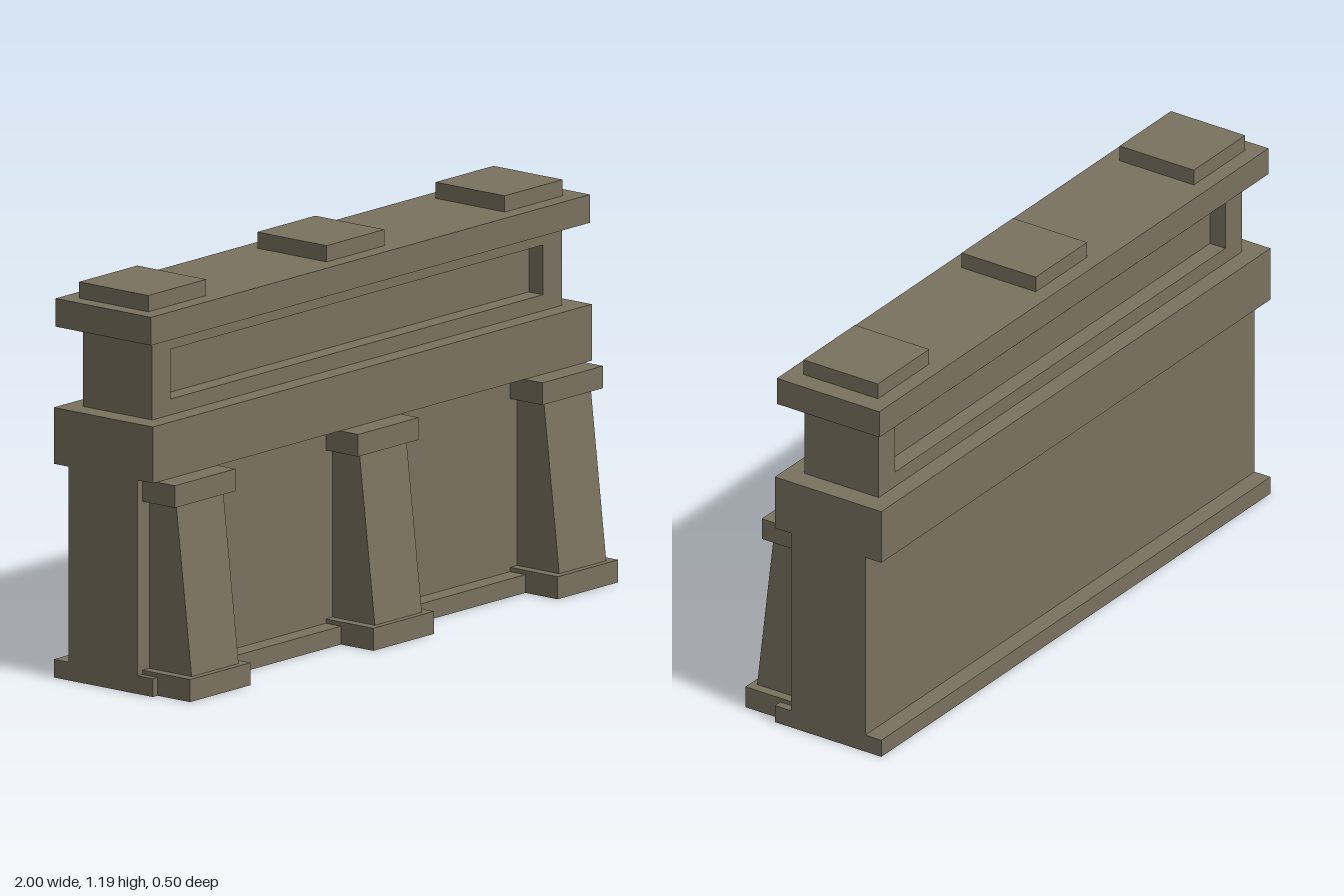
import * as THREE from 'three';

export function createModel() {
  const model = new THREE.Group();
  model.name = 'parapetWall';
  const stone = new THREE.MeshStandardMaterial({ color: 0x7a725f });
  stone.name = 'stone';

  function add(name, geometry, parent = model) {
    const mesh = new THREE.Mesh(geometry, stone);
    mesh.name = name;
    parent.add(mesh);
    return mesh;
  }

  // Box given by its limits on each axis
  function block(name, [x0, x1], [y0, y1], [z0, z1], parent) {
    const mesh = add(name, new THREE.BoxGeometry(x1 - x0, y1 - y0, z1 - z0), parent);
    mesh.position.set((x0 + x1) / 2, (y0 + y1) / 2, (z0 + z1) / 2);
    return mesh;
  }

  // Lower wall with skirting on front and back
  block('lowerWall', [-1, 1], [0, 0.645], [-0.193, 0.072]);
  block('frontSkirting', [-1, 1], [0, 0.055], [0.072, 0.13]);
  block('backSkirting', [-1, 1], [0, 0.055], [-0.25, -0.193]);
  block('beam', [-1, 1], [0.645, 0.815], [-0.25, 0.13]);

  // Upper wall: thin core between two frames that leave sunken panels
  const recess = 0.055;
  block('panelCore', [-0.935, 0.932], [0.815, 1.06], [-0.193 + recess, 0.072 - recess]);
  const rectangle = (target, x0, x1, y0, y1) => target
    .moveTo(x0, y0).lineTo(x1, y0).lineTo(x1, y1).lineTo(x0, y1).closePath();
  const frame = rectangle(new THREE.Shape(), -0.935, 0.932, 0.815, 1.06);
  frame.holes.push(rectangle(new THREE.Path(), -0.85, 0.847, 0.863, 1.013));
  const frameGeometry = new THREE.ExtrudeGeometry(frame, { depth: recess, bevelEnabled: false });
  add('frontPanelFrame', frameGeometry).position.z = 0.072 - recess;
  add('backPanelFrame', frameGeometry).position.z = -0.193;

  // Cornice and the three flat blocks on top
  block('cornice', [-1, 1], [1.06, 1.145], [-0.243, 0.123]);
  for (const x of [-0.82, -0.008, 0.804]) {
    block('topBlock', [x - 0.132, x + 0.132], [1.145, 1.194], [-0.193, 0.072]);
  }

  // Buttresses: plinth, shaft with sloping front, and cap
  const profile = new THREE.Shape([[0.072, 0.068], [0.234, 0.068], [0.175, 0.577], [0.072, 0.577]]
    .map(([z, y]) => new THREE.Vector2(z, y)));
  const shaftGeometry = new THREE.ExtrudeGeometry(profile, { depth: 0.214, bevelEnabled: false });
  shaftGeometry.translate(0, 0, -0.107);
  shaftGeometry.rotateY(-Math.PI / 2);
  for (const x of [-0.84, -0.005, 0.835]) {
    const buttress = new THREE.Group();
    buttress.name = 'buttress';
    buttress.position.x = x;
    model.add(buttress);
    block('plinth', [-0.138, 0.138], [0, 0.068], [0.072, 0.254], buttress);
    add('shaft', shaftGeometry, buttress);
    block('cap', [-0.138, 0.138], [0.577, 0.644], [0.072, 0.196], buttress);
  }

  return model;
}
